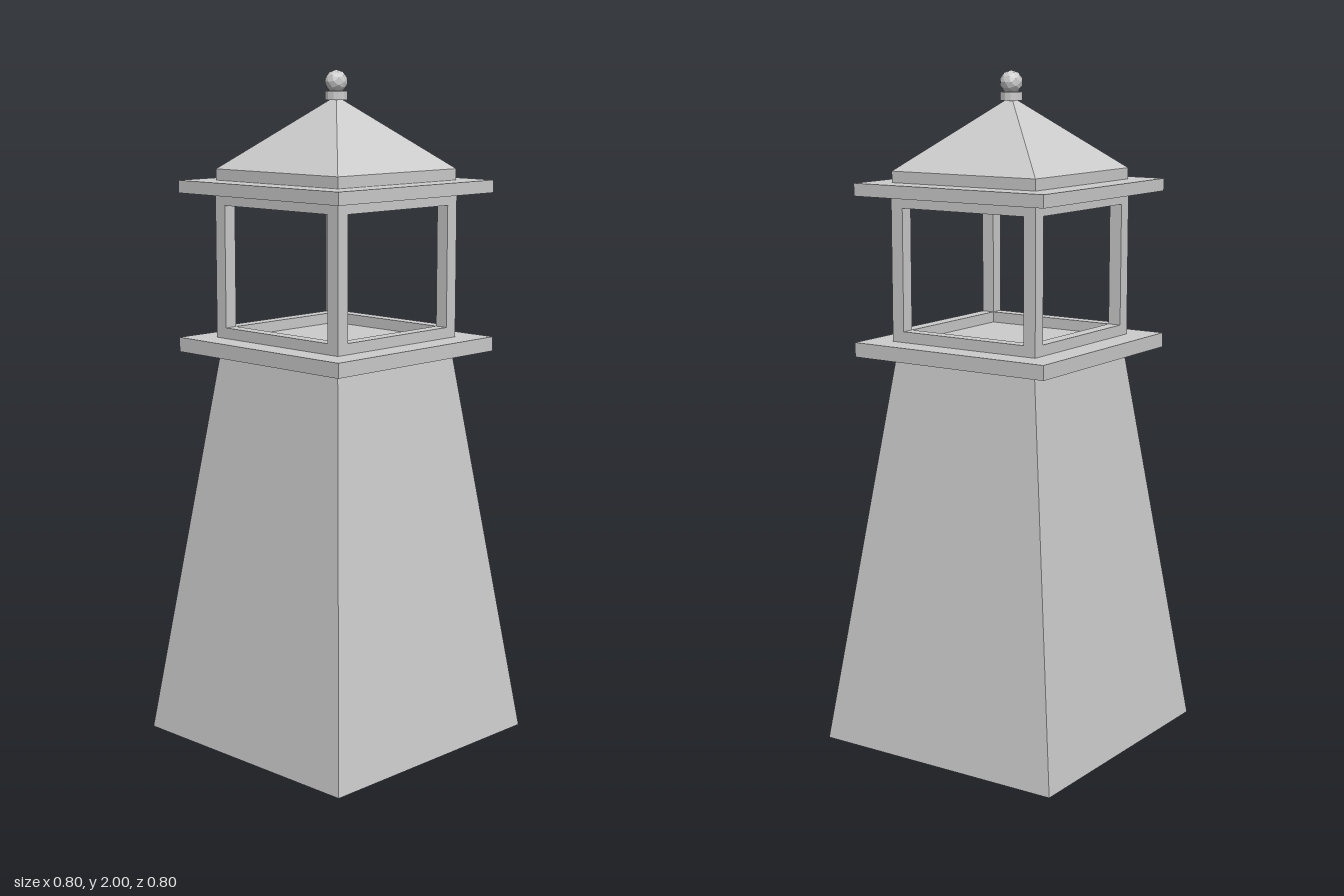
import * as THREE from 'three';

const material = new THREE.MeshStandardMaterial({ color: 0xcccccc, flatShading: true });

export function createModel() {
  const model = new THREE.Group();
  model.name = 'lighthouse';

  function add(name, geometry, x, y, z) {
    const mesh = new THREE.Mesh(geometry, material);
    mesh.name = name;
    mesh.position.set(x, y, z);
    model.add(mesh);
    return mesh;
  }

  // Square slab given by half width and bottom / top heights
  function slab(name, half, y0, y1) {
    add(name, new THREE.BoxGeometry(half * 2, y1 - y0, half * 2), 0, (y0 + y1) / 2, 0);
  }

  // Four-sided taper with its sides facing the axes
  function taper(name, bottomHalf, topHalf, y0, y1) {
    const geometry = new THREE.CylinderGeometry(
      topHalf * Math.SQRT2, bottomHalf * Math.SQRT2, y1 - y0, 4);
    geometry.rotateY(Math.PI / 4);
    add(name, geometry, 0, (y0 + y1) / 2, 0);
  }

  // Square ring with an open middle
  function frame(name, outer, inner, y0, y1) {
    const square = (Type, h) => new Type([[-h, -h], [h, -h], [h, h], [-h, h]]
      .map(([x, y]) => new THREE.Vector2(x, y)));
    const shape = square(THREE.Shape, outer);
    shape.holes.push(square(THREE.Path, inner));
    const geometry = new THREE.ExtrudeGeometry(shape, { depth: y1 - y0, bevelEnabled: false });
    geometry.rotateX(-Math.PI / 2);
    add(name, geometry, 0, y0, 0);
  }

  // Tower and gallery deck
  taper('tower', 0.4, 0.243, 0, 1.175);
  slab('galleryDeck', 0.329, 1.175, 1.218);

  // Open lantern room: sill, corner posts and head rail
  frame('lanternSill', 0.25, 0.21, 1.218, 1.25);
  for (const sx of [-1, 1]) {
    for (const sz of [-1, 1]) {
      add('cornerPost', new THREE.BoxGeometry(0.04, 0.36, 0.04), sx * 0.23, 1.43, sz * 0.23);
    }
  }
  frame('lanternHeadRail', 0.25, 0.21, 1.61, 1.645);

  // Roof
  slab('eaves', 0.326, 1.645, 1.682);
  slab('roofBase', 0.248, 1.682, 1.715);
  taper('roof', 0.248, 0, 1.715, 1.925);

  // Finial
  add('finialCollar', new THREE.CylinderGeometry(0.033, 0.033, 0.025, 12), 0, 1.926, 0);
  add('finialBall', new THREE.IcosahedronGeometry(0.034, 1), 0, 1.966, 0);

  return model;
}
